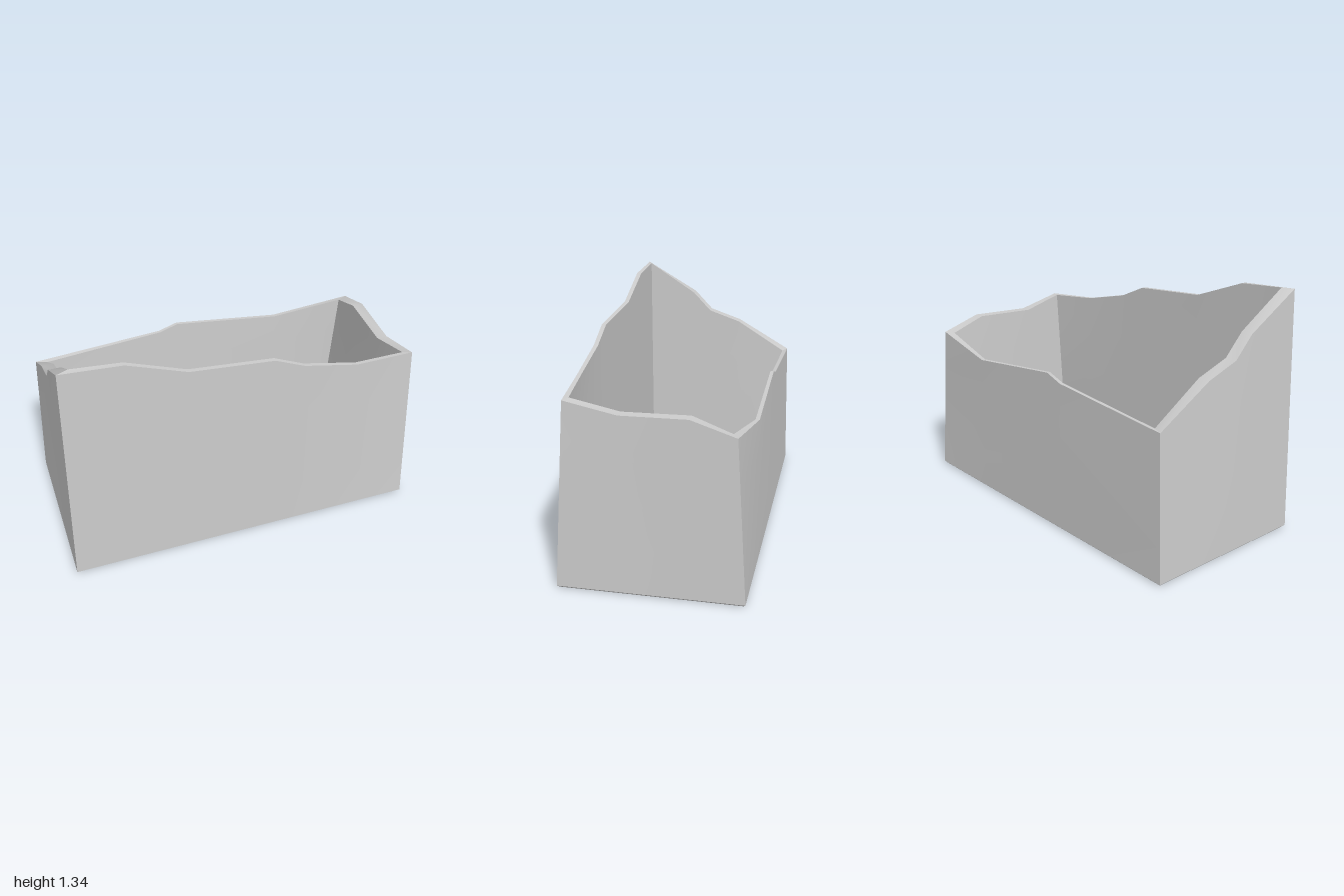
import * as THREE from 'three';

// Rim stations per wall: [outerX, outerZ, height, innerX, innerZ], counter-clockwise from above
const frontLeft = [-0.967, 0.465, 1.338, -0.905, 0.437];
const frontRight = [0.975, 0.42, 0.995, 0.925, 0.4];
const backRight = [0.99, -0.43, 0.87, 0.932, -0.4];
const backLeft = [-0.967, -0.47, 0.79, -0.905, -0.445];

const walls = {
  frontWall: [frontLeft,
    [-0.64, 0.466, 1.318, -0.64, 0.439], [-0.32, 0.462, 1.2, -0.32, 0.437],
    [0.14, 0.468, 1.165, 0.14, 0.443], [0.31, 0.464, 1.09, 0.31, 0.44],
    [0.62, 0.456, 1.02, 0.62, 0.434], frontRight],
  rightWall: [frontRight, [0.967, 0.15, 0.935, 0.908, 0.15], [0.987, -0.2, 0.945, 0.925, -0.2], backRight],
  backWall: [backRight,
    [0.52, -0.472, 0.803, 0.52, -0.45], [-0.11, -0.472, 0.878, -0.11, -0.453],
    [-0.22, -0.472, 0.843, -0.22, -0.452], backLeft],
  leftWall: [backLeft,
    [-0.967, -0.15, 0.975, -0.9, -0.15], [-0.967, 0.04, 1.04, -0.9, 0.04],
    [-0.967, 0.15, 1.155, -0.9, 0.15], frontLeft],
};

// Footprint half sizes
const OUT_X = 1, OUT_Z = 0.482, IN_X = 0.888, IN_Z = 0.432, BEVEL = 0.01;

// Wall cross-section at a station: underside, bevels, outer face, rim, inner face
function section([ox, oz, y, ix, iz], alongX, corner) {
  const sx = Math.sign(ox), sz = Math.sign(oz);
  const bx = corner || !alongX ? sx * OUT_X : ox;
  const bz = corner || alongX ? sz * OUT_Z : oz;
  const cx = corner || !alongX ? sx * IN_X : ix;
  const cz = corner || alongX ? sz * IN_Z : iz;
  const dx = corner || !alongX ? sx * BEVEL : 0;
  const dz = corner || alongX ? sz * BEVEL : 0;
  return [
    [cx + dx, 0, cz + dz], [bx - dx, 0, bz - dz], // underside
    [bx, BEVEL, bz], [ox, y, oz],                 // outer face
    [ix, y, iz], [cx, BEVEL, cz],                 // rim and inner face
  ];
}

// One band of the wall between two section points, smooth along its length
function strip(sections, from, to, rows) {
  const pos = [], index = [], n = rows + 1;
  for (const s of sections) {
    for (let r = 0; r <= rows; r++) {
      for (let k = 0; k < 3; k++) pos.push(THREE.MathUtils.lerp(s[from][k], s[to][k], r / rows));
    }
  }
  for (let i = 0; i < sections.length - 1; i++) {
    for (let r = 0; r < rows; r++) {
      const a = i * n + r, b = a + n;
      index.push(a, b, b + 1, a, b + 1, a + 1);
    }
  }
  const geometry = new THREE.BufferGeometry();
  geometry.setAttribute('position', new THREE.Float32BufferAttribute(pos, 3));
  geometry.setIndex(index);
  geometry.computeVertexNormals();
  return geometry;
}

export function createModel() {
  const model = new THREE.Group();
  model.name = 'brokenWallEnclosure';
  const material = new THREE.MeshStandardMaterial({ color: 0xcccccc, side: THREE.DoubleSide });
  const bands = ['underside', 'outerBevel', 'outerFace', 'rim', 'innerFace', 'innerBevel'];

  for (const [name, stations] of Object.entries(walls)) {
    const wall = new THREE.Group();
    wall.name = name;
    const alongX = name === 'frontWall' || name === 'backWall';
    const sections = stations.map((s, i) => section(s, alongX, i === 0 || i === stations.length - 1));
    bands.forEach((band, i) => {
      const rows = band.endsWith('Face') ? 4 : 1;
      const mesh = new THREE.Mesh(strip(sections, i, (i + 1) % 6, rows), material);
      mesh.name = band;
      wall.add(mesh);
    });
    model.add(wall);
  }
  return model;
}
